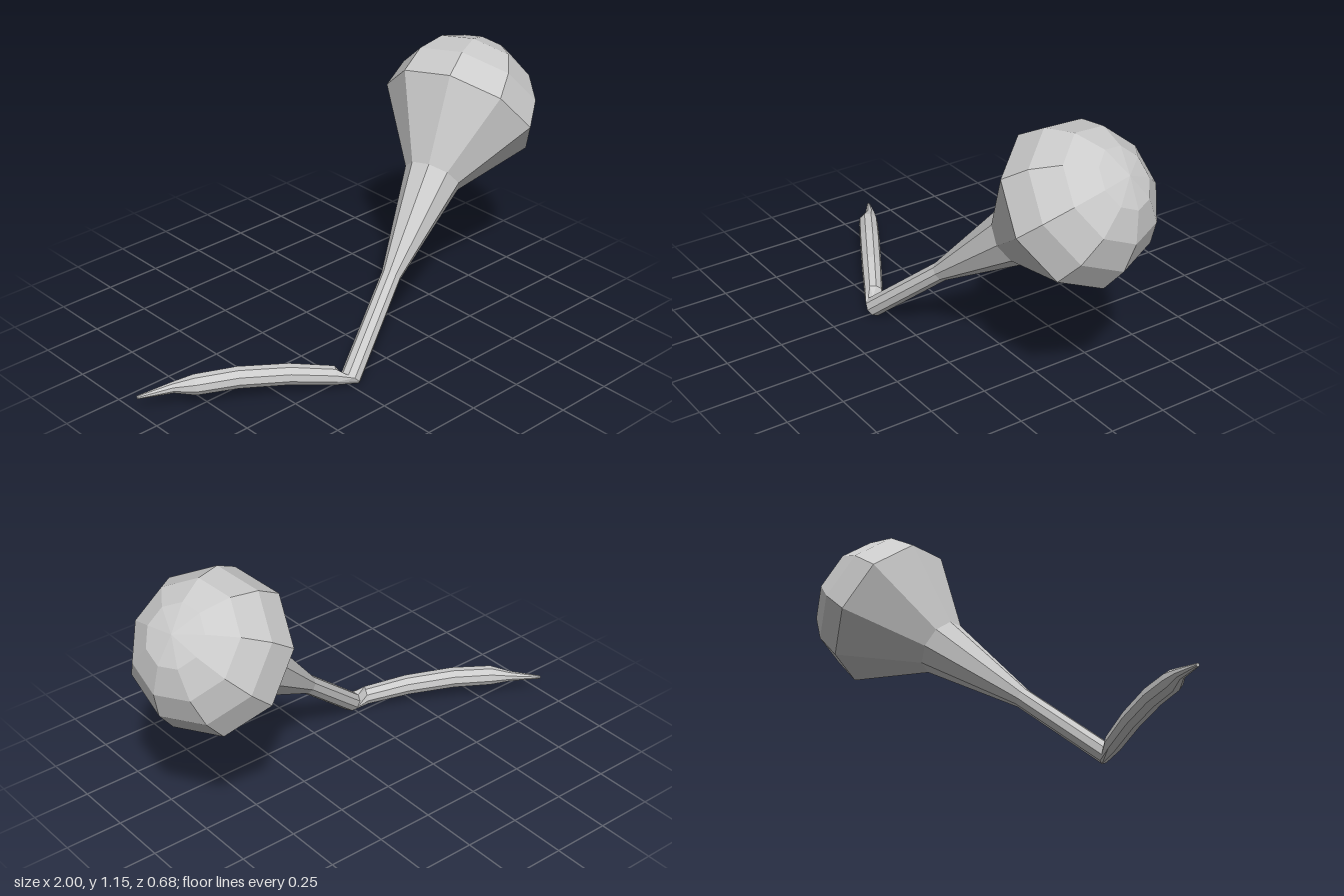
import * as THREE from 'three';

const SIDES = 9;
const V = (x, y, z) => new THREE.Vector3(x, y, z);

// Rings (centre, radius, facing) swept from the crown of the bulb to the tip of the tail
function makeRings() {
  const axis = V(-0.74, -0.63, 0.235).normalize();
  const centre = V(0.672, 0.826, -0.016);
  const R = 0.333;
  const rings = [];
  // Hemisphere
  for (let i = 0; i <= 4; i++) {
    const a = (i / 4) * Math.PI / 2;
    rings.push({ c: centre.clone().addScaledVector(axis, -R * Math.cos(a)), r: R * Math.sin(a), t: axis });
  }
  // Neck, stem and elbow
  for (const [x, y, z, r] of [
    [0.44, 0.625, 0.062, 0.123], [0.09, 0.332, 0.18, 0.042], [-0.25, 0.034, 0.3, 0.043],
  ]) rings.push({ c: V(x, y, z), r, t: axis });
  // Arched tail with a pointed tip
  const tail = [
    [-0.31, 0.06, 0.266, 0.04], [-0.47, 0.094, 0.177, 0.044], [-0.65, 0.109, 0.076, 0.045],
    [-0.8, 0.101, -0.008, 0.043], [-0.87, 0.093, -0.06, 0.023], [-0.997, 0.069, -0.128, 0.007],
  ];
  tail.forEach(([x, y, z, r], i) => {
    const p = tail[Math.max(i - 1, 0)], n = tail[Math.min(i + 1, tail.length - 1)];
    rings.push({ c: V(x, y, z), r, t: V(n[0] - p[0], n[1] - p[1], n[2] - p[2]).normalize() });
  });
  // Carry one side direction along so that the facets stay aligned
  const u = V(0.29, 0.01, 0.96).addScaledVector(axis, -V(0.29, 0.01, 0.96).dot(axis)).normalize();
  let last = axis;
  for (const ring of rings) {
    u.applyQuaternion(new THREE.Quaternion().setFromUnitVectors(last, ring.t));
    last = ring.t;
    const v = ring.t.clone().cross(u);
    ring.points = [];
    for (let j = 0; j < SIDES; j++) {
      const a = (j / SIDES) * Math.PI * 2;
      ring.points.push(ring.c.clone()
        .addScaledVector(u, ring.r * Math.cos(a))
        .addScaledVector(v, ring.r * Math.sin(a)));
    }
  }
  return rings;
}

// Skin a run of rings with flat facets
function skin(name, rings, capEnd) {
  const pos = [];
  const tri = (...pts) => pts.forEach((p) => pos.push(p.x, p.y, p.z));
  for (let i = 0; i < rings.length - 1; i++) {
    const A = rings[i], B = rings[i + 1];
    for (let j = 0; j < SIDES; j++) {
      const k = (j + 1) % SIDES;
      if (A.r > 1e-5) tri(A.points[j], A.points[k], B.points[j]);
      tri(A.points[k], B.points[k], B.points[j]);
    }
  }
  if (capEnd) {
    const E = rings[rings.length - 1];
    for (let j = 0; j < SIDES; j++) tri(E.points[j], E.points[(j + 1) % SIDES], E.c);
  }
  const geometry = new THREE.BufferGeometry();
  geometry.setAttribute('position', new THREE.Float32BufferAttribute(pos, 3));
  geometry.computeVertexNormals();
  const mesh = new THREE.Mesh(geometry, new THREE.MeshStandardMaterial({ color: 0xcccccc, flatShading: true }));
  mesh.name = name;
  return mesh;
}

export function createModel() {
  const group = new THREE.Group();
  group.name = 'bulbWithTail';
  const rings = makeRings();
  group.add(
    skin('bulb', rings.slice(0, 6)),
    skin('stem', rings.slice(5, 8)),
    skin('tail', rings.slice(7), true),
  );
  return group;
}
